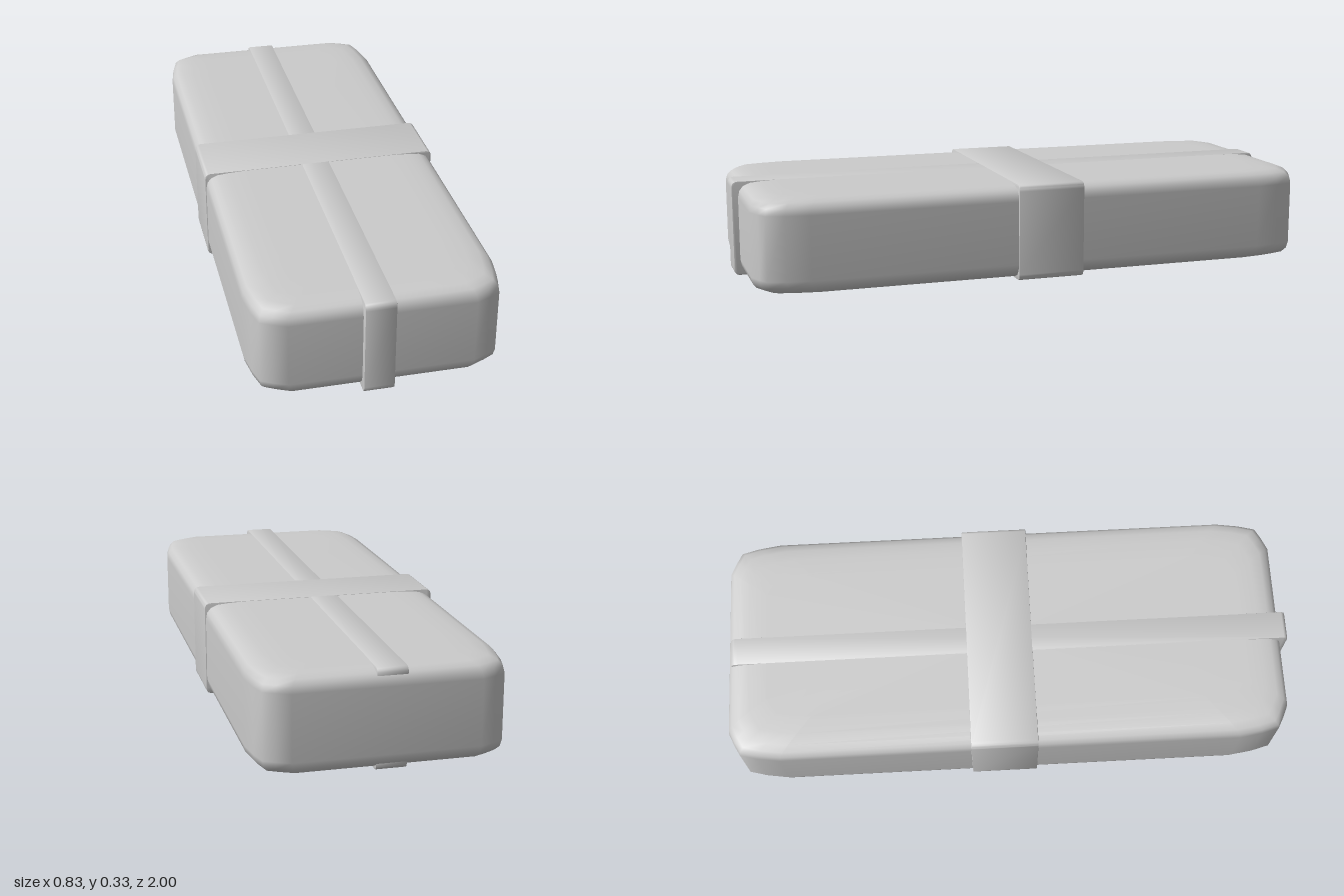
import * as THREE from 'three';
import { toCreasedNormals } from 'three/addons/utils/BufferGeometryUtils.js';

const material = () => new THREE.MeshStandardMaterial({ color: 0xcccccc });

// Padded block lofted from inset copies of one outline, capped at both ends
function paddedBlock(hx, hz, y0, y1) {
  const quarter = [[hx, hz - 0.18], [hx - 0.012, hz - 0.1], [hx - 0.028, hz - 0.04], [hx - 0.065, hz - 0.02], [hx - 0.11, hz]];
  const back = [...quarter].reverse();
  const outline = [
    ...quarter,
    ...back.map(([x, z]) => [-x, z]),
    ...quarter.map(([x, z]) => [-x, -z]),
    ...back.map(([x, z]) => [x, -z]),
  ];
  // inset and depth below the face: gentle crown, then a rounded edge
  const rim = [[0.14, 0], [0.08, 0.0025], [0.042, 0.006], [0.018, 0.016], [0.005, 0.032], [0, 0.055]];
  const levels = [
    ...rim.map(([i, d]) => [i, y0 + d]),
    ...[...rim].reverse().map(([i, d]) => [i, y1 - d]),
  ];
  const n = outline.length, pos = [], idx = [];
  for (const [inset, y] of levels)
    for (const [x, z] of outline) pos.push(x * (1 - inset / hx), y, z * (1 - inset / hz));
  for (let l = 0; l < levels.length - 1; l++)
    for (let i = 0; i < n; i++) {
      const a = l * n + i, b = l * n + (i + 1) % n;
      idx.push(a, a + n, b, b, a + n, b + n);
    }
  const bottom = pos.length / 3, top = bottom + 1, last = (levels.length - 1) * n;
  pos.push(0, y0, 0, 0, y1, 0);
  for (let i = 0; i < n; i++) {
    const j = (i + 1) % n;
    idx.push(bottom, i, j, top, last + j, last + i);
  }
  const g = new THREE.BufferGeometry();
  g.setAttribute('position', new THREE.Float32BufferAttribute(pos, 3));
  g.setIndex(idx);
  g.computeVertexNormals();
  return g;
}

// Flat band wrapped round the block: rounded section with softened edges
function band(length, height, width, radius) {
  const bevel = 0.004, x = length / 2 - bevel, y = height / 2 - bevel, r = radius;
  const s = new THREE.Shape();
  s.moveTo(-x + r, -y);
  s.lineTo(x - r, -y);
  s.quadraticCurveTo(x, -y, x, -y + r);
  s.lineTo(x, y - r);
  s.quadraticCurveTo(x, y, x - r, y);
  s.lineTo(-x + r, y);
  s.quadraticCurveTo(-x, y, -x, y - r);
  s.lineTo(-x, -y + r);
  s.quadraticCurveTo(-x, -y, -x + r, -y);
  const g = new THREE.ExtrudeGeometry(s, {
    depth: width - 2 * bevel, bevelSize: bevel, bevelThickness: bevel, bevelSegments: 2, curveSegments: 5,
  });
  g.translate(0, 0, -width / 2 + bevel);
  return toCreasedNormals(g, 0.7);
}

export function createModel() {
  const group = new THREE.Group();
  const add = (name, geometry, x, y, z, turn = 0) => {
    const mesh = new THREE.Mesh(geometry, material());
    mesh.name = name;
    mesh.position.set(x, y, z);
    mesh.rotation.y = turn;
    group.add(mesh);
  };

  // Main padded body
  add('body', paddedBlock(0.41, 0.9875, 0.002, 0.33), 0, 0, -0.0125);

  // Crosswise band round the middle
  add('crossBand', band(0.828, 0.332, 0.235, 0.018), 0, 0.166, -0.0325);

  // Lengthwise band, standing proud at the front and sunk into the back
  add('lengthBand', band(1.985, 0.33, 0.1, 0.018), -0.015, 0.166, 0.0045, Math.PI / 2);

  return group;
}
